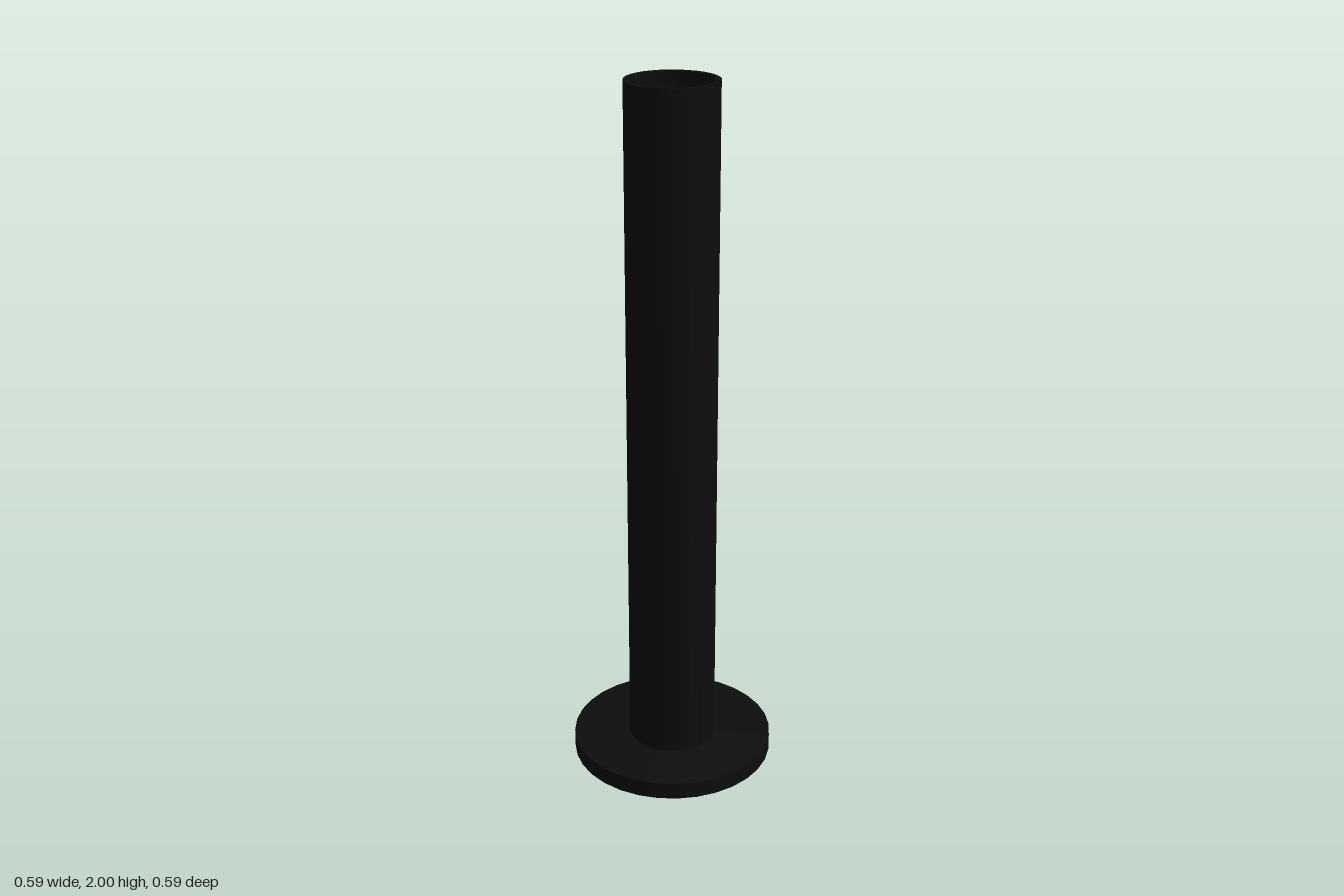
import * as THREE from 'three';
import { toCreasedNormals } from 'three/addons/utils/BufferGeometryUtils.js';

const SIDES = 32;
const BASE_RADIUS = 0.293, BASE_HEIGHT = 0.05;
const OUTER = 0.127, INNER = 0.113, TOP = 2;

export function createModel() {
  const group = new THREE.Group();
  const black = new THREE.MeshStandardMaterial({ color: 0x0d0d0d });

  // round foot plate, closing the bottom of the tube
  const base = new THREE.Mesh(
    new THREE.CylinderGeometry(BASE_RADIUS, BASE_RADIUS, BASE_HEIGHT, SIDES), black);
  base.name = 'basePlate';
  base.position.y = BASE_HEIGHT / 2;

  // hollow post: up the outside, over the rim, down the inside
  const profile = [
    [OUTER, BASE_HEIGHT], [OUTER, TOP], [INNER, TOP], [INNER, BASE_HEIGHT],
  ].map(([r, y]) => new THREE.Vector2(r, y));
  const post = new THREE.Mesh(
    toCreasedNormals(new THREE.LatheGeometry(profile, SIDES), Math.PI / 5), black);
  post.name = 'hollowPost';

  group.add(base, post);
  return group;
}
